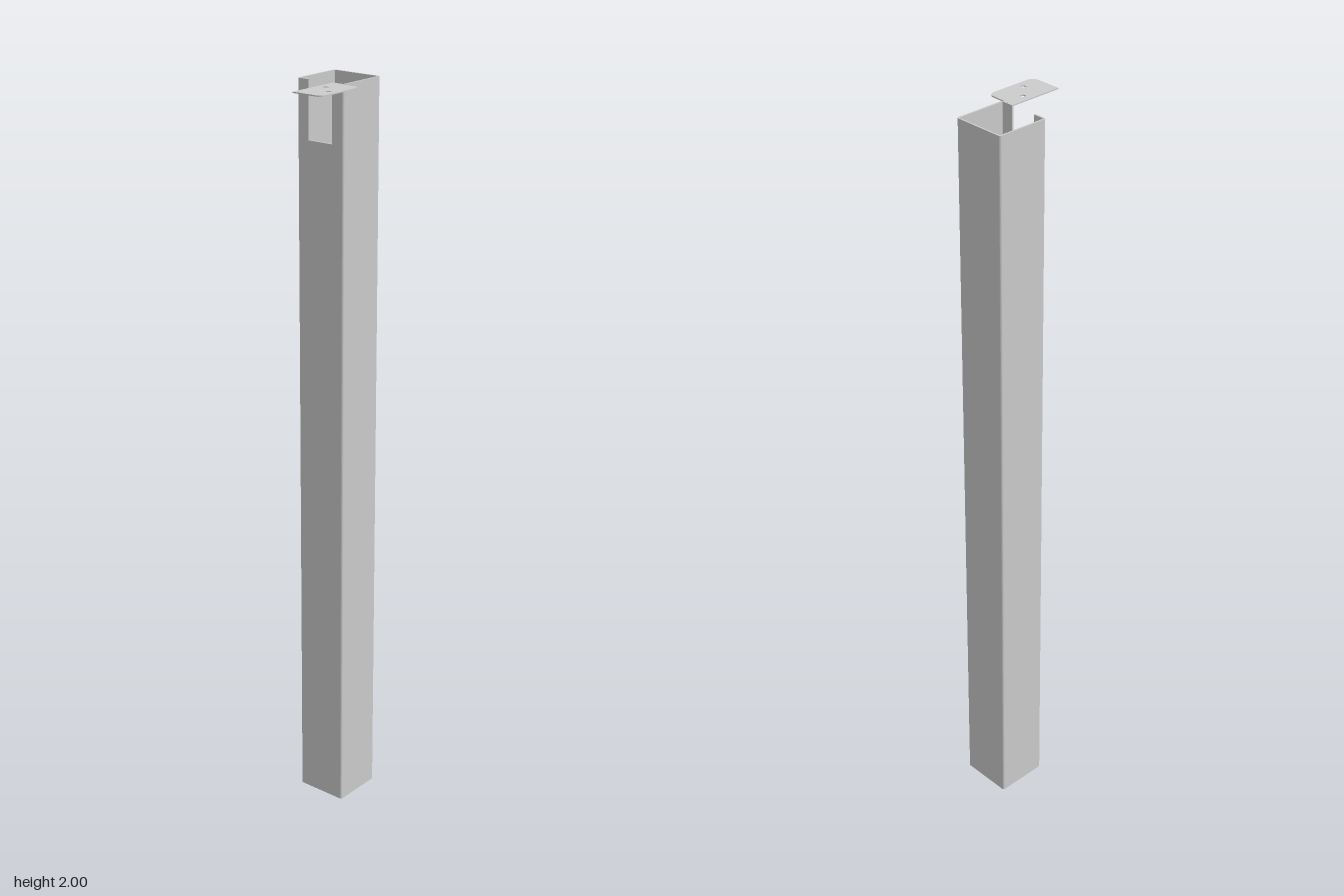
import * as THREE from 'three';

const material = new THREE.MeshStandardMaterial({ color: 0xcccccc, side: THREE.DoubleSide });

// Post section in plan; shape y runs towards the back (-z)
const X0 = -0.098, X1 = 0.047, FRONT = 0.001, BACK = 0.146;
const WALL = 0.0045, RADIUS = 0.006;
const NOTCH_L = -0.063, NOTCH_R = 0.011, NOTCH_Y = 1.85, TOP = 2;
const PLATE = 0.003;

// Extrudes a plan shape upwards from y0 to y1
function extrudeUp(name, shape, y0, y1) {
  const geometry = new THREE.ExtrudeGeometry(shape, { depth: y1 - y0, bevelEnabled: false, curveSegments: 5 });
  geometry.rotateX(-Math.PI / 2).translate(0, y0, 0);
  const mesh = new THREE.Mesh(geometry, material);
  mesh.name = name;
  return mesh;
}

// Goes round a rounded rectangle from front point xs to front point xe
function trace(path, inset, xs, xe) {
  const l = X0 + inset, r = X1 - inset, f = FRONT + inset, b = BACK - inset;
  const c = RADIUS - inset;
  path.moveTo(xs, f);
  path.lineTo(r - c, f).absarc(r - c, f + c, c, -Math.PI / 2, 0);
  path.lineTo(r, b - c).absarc(r - c, b - c, c, 0, Math.PI / 2);
  path.lineTo(l + c, b).absarc(l + c, b - c, c, Math.PI / 2, Math.PI);
  path.lineTo(l, f + c).absarc(l + c, f + c, c, Math.PI, Math.PI * 1.5);
  path.lineTo(xe, f);
  return path;
}

export function createModel() {
  const group = new THREE.Group();
  group.name = 'bracketedPost';

  // Square hollow post, open at both ends
  const ring = trace(new THREE.Shape(), 0, 0, 0);
  ring.holes.push(trace(new THREE.Path(), WALL, 0, 0));
  group.add(extrudeUp('postTube', ring, 0, NOTCH_Y));

  // Top of the post, with a slot cut from the front wall
  const outer = trace(new THREE.Shape(), 0, NOTCH_R, NOTCH_L).getPoints(5);
  const inner = trace(new THREE.Path(), WALL, NOTCH_R, NOTCH_L).getPoints(5).reverse();
  group.add(extrudeUp('notchedPostTop', new THREE.Shape([...outer, ...inner]), NOTCH_Y, TOP));

  // Mounting tab standing out from the front wall, rounded on its free side
  const l = 0.011, r = 0.098, f = -0.146, b = 0, c = 0.018;
  const tab = new THREE.Shape();
  tab.moveTo(l, f);
  tab.lineTo(r - c, f).absarc(r - c, f + c, c, -Math.PI / 2, 0);
  tab.lineTo(r, b - c).absarc(r - c, b - c, c, 0, Math.PI / 2);
  tab.lineTo(l, b + 0.001);
  tab.closePath();

  // Five-sided screw holes
  for (const [x, z] of [[0.034, 0.052], [0.075, 0.092]]) {
    const points = [];
    for (let i = 0; i < 5; i++) {
      const a = -Math.PI / 2 - (i * Math.PI * 2) / 5;
      points.push(new THREE.Vector2(x + 0.0075 * Math.cos(a), -z - 0.0075 * Math.sin(a)));
    }
    tab.holes.push(new THREE.Path(points));
  }
  group.add(extrudeUp('mountingTab', tab, TOP - PLATE, TOP));

  return group;
}
